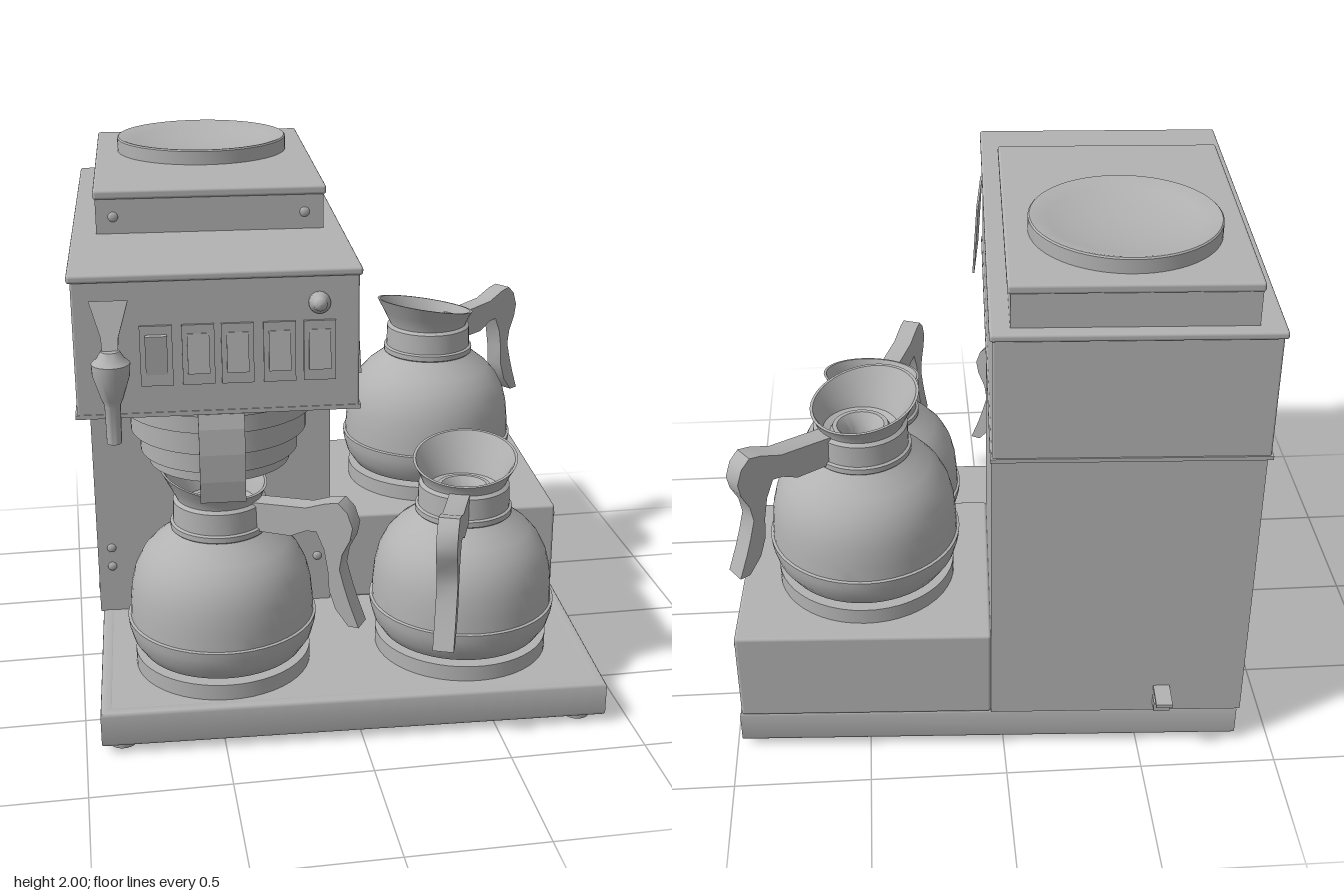
import * as THREE from 'three';
import { toCreasedNormals } from 'three/addons/utils/BufferGeometryUtils.js';
import { RoundedBoxGeometry } from 'three/addons/geometries/RoundedBoxGeometry.js';

const steel = new THREE.MeshStandardMaterial({ color: 0xb2b2b2, side: THREE.DoubleSide });
steel.name = 'steel grey';

function add(parent, name, geometry, x = 0, y = 0, z = 0) {
  const mesh = new THREE.Mesh(geometry, steel);
  mesh.name = name;
  mesh.position.set(x, y, z);
  parent.add(mesh);
  return mesh;
}

// Box given by its lower and upper corners
function block(parent, name, [x0, y0, z0], [x1, y1, z1], r = 0) {
  const size = [x1 - x0, y1 - y0, z1 - z0];
  const g = r ? new RoundedBoxGeometry(...size, 3, r) : new THREE.BoxGeometry(...size);
  return add(parent, name, g, (x0 + x1) / 2, (y0 + y1) / 2, (z0 + z1) / 2);
}

function lathe(points, segments = 48) {
  return new THREE.LatheGeometry(points.map(([r, y]) => new THREE.Vector2(r, y)), segments);
}

function rectangle(Type, [x0, z0, x1, z1]) {
  const p = new Type();
  p.moveTo(x0, -z0).lineTo(x0, -z1).lineTo(x1, -z1).lineTo(x1, -z0).closePath();
  return p;
}

// Upright rectangular wall or plate with a rectangular opening
function frame(parent, name, outer, inner, y0, y1, bevel = 0) {
  const shape = rectangle(THREE.Shape, outer);
  shape.holes.push(rectangle(THREE.Path, inner));
  const g = new THREE.ExtrudeGeometry(shape, {
    depth: y1 - y0 - 2 * bevel, bevelEnabled: bevel > 0, bevelSize: bevel,
    bevelThickness: bevel, bevelOffset: -bevel, bevelSegments: 3,
  });
  g.rotateX(-Math.PI / 2);
  return add(parent, name, toCreasedNormals(g, 0.6), 0, y0 + bevel, 0);
}

// Side profile extruded to a width, centred on its own z
function profile(points, width) {
  const shape = new THREE.Shape(points.map(([x, y]) => new THREE.Vector2(x, y)));
  const g = new THREE.ExtrudeGeometry(shape, { depth: width, bevelEnabled: false });
  g.translate(0, 0, -width / 2);
  return g;
}

function screw(parent, x, y, z, sideways = false) {
  const s = add(parent, 'screw', new THREE.SphereGeometry(0.018, 16, 10), x, y, z);
  s.scale.set(sideways ? 0.4 : 1, 1, sideways ? 1 : 0.5);
}

// Glass pot; its handle points along local +x, its spout along -x
function carafe(x, y, z, angle) {
  const pot = new THREE.Group();
  pot.name = 'carafe';
  const body = lathe([[0, 0], [0.27, 0], [0.305, 0.015], [0.335, 0.06], [0.349, 0.11], [0.352, 0.14],
    [0.342, 0.143], [0.34, 0.2], [0.333, 0.27], [0.318, 0.33], [0.29, 0.385], [0.25, 0.43],
    [0.205, 0.465], [0.172, 0.495]], 56);
  add(pot, 'carafeBody', toCreasedNormals(body, 0.6));
  add(pot, 'carafeNeck', toCreasedNormals(lathe([[0.172, 0.485], [0.182, 0.495], [0.182, 0.515],
    [0.172, 0.52], [0.17, 0.6], [0.155, 0.612]]), 0.6));

  // Flared collar, tipped upward at the spout, with a recessed funnel inside
  const collar = lathe([[0.155, 0.595], [0.157, 0.61], [0.175, 0.65], [0.196, 0.69], [0.186, 0.69],
    [0.15, 0.62], [0.135, 0.58], [0.11, 0.57], [0.1, 0.59], [0.085, 0.59], [0.055, 0.55], [0.05, 0.5], [0, 0.5]]);
  const p = collar.attributes.position;
  for (let i = 0; i < p.count; i++) {
    const t = Math.max(0, (p.getY(i) - 0.61) / 0.08);
    const px = p.getX(i);
    p.setXYZ(i, px - 0.022 * t, p.getY(i) - 0.21 * t * px, p.getZ(i));
  }
  collar.computeVertexNormals();
  add(pot, 'carafeSpout', toCreasedNormals(collar, 0.6));

  // Wavy handle with a blocky grip at the neck
  const grip = profile([[0.14, 0.505], [0.3, 0.51], [0.36, 0.54], [0.4, 0.545], [0.43, 0.48],
    [0.445, 0.4], [0.45, 0.32], [0.475, 0.25], [0.525, 0.19], [0.565, 0.19], [0.53, 0.28], [0.51, 0.34],
    [0.49, 0.41], [0.5, 0.47], [0.53, 0.53], [0.54, 0.58], [0.52, 0.635], [0.485, 0.668], [0.44, 0.66],
    [0.36, 0.63], [0.14, 0.615]], 0.075);
  add(pot, 'carafeHandle', toCreasedNormals(grip, 0.7));
  add(pot, 'warmerPlate', new THREE.CylinderGeometry(0.328, 0.328, 0.06, 48), 0, -0.03, 0);
  pot.position.set(x, y, z);
  pot.rotation.y = angle;
  return pot;
}

export function createModel() {
  const root = new THREE.Group();
  root.name = 'coffeeBrewer';
  const m = new THREE.Group();
  m.name = 'brewerAssembly';
  m.rotation.y = -0.046;
  root.add(m);

  // Hollow base tray with a shallow well beneath the tower, on four feet
  const well = [-0.87, -0.8, -0.02, -0.04];
  frame(m, 'baseRim', [-0.91, -0.84, 0.943, 0.785], [-0.86, -0.79, 0.893, 0.735], 0.03, 0.165, 0.014);
  frame(m, 'baseTop', [-0.895, -0.825, 0.928, 0.77], well, 0.13, 0.164);
  block(m, 'wellCover', [-0.9, 0.175, -0.825], [-0.005, 0.18, -0.035]);
  for (const x of [-0.835, 0.855]) for (const z of [0.7, -0.74]) {
    add(m, 'foot', new THREE.CylinderGeometry(0.055, 0.05, 0.04, 24), x, 0.02, z);
  }

  // Rear tower and stepped warmer
  frame(m, 'tower', [-0.92, -0.845, 0.01, -0.015], [-0.9, -0.825, -0.01, -0.035], 0.16, 1.31);
  block(m, 'upperWarmer', [0.009, 0.165, -0.85], [0.935, 0.53, -0.015], 0.012);
  for (const [x, y] of [[-0.865, 0.36], [-0.865, 0.44], [-0.865, 1.175], [-0.043, 0.36], [-0.043, 1.175]]) {
    screw(m, x, y, -0.012);
  }
  for (const z of [-0.045, -0.81]) screw(m, 0.934, 0.485, z, true);
  for (const z of [-0.1, -0.76]) screw(m, -0.92, 0.235, z, true);

  // Brewer head with lip, reservoir box and dished lid
  block(m, 'head', [-0.926, 1.305, -0.872], [0.008, 1.77, 0.812], 0.008);
  block(m, 'headBottomLip', [-0.932, 1.3, -0.878], [0.014, 1.315, 0.815]);
  block(m, 'headTopLip', [-0.938, 1.762, -0.883], [0.018, 1.79, 0.822], 0.01);
  block(m, 'reservoir', [-0.85, 1.785, -0.835], [-0.05, 1.92, 0.28]);
  block(m, 'reservoirLip', [-0.857, 1.912, -0.842], [-0.04, 1.945, 0.288], 0.01);
  for (const x of [-0.79, -0.117]) screw(m, x, 1.85, 0.282);
  add(m, 'dishedLid', toCreasedNormals(lathe([[0.327, 1.94], [0.327, 1.995], [0.322, 2], [0.315, 2],
    [0.26, 1.984], [0.18, 1.967], [0.09, 1.957], [0, 1.954]], 64), 0.6), -0.447, 0, -0.442);
  const panel = add(m, 'sidePlate', new THREE.BoxGeometry(0.008, 0.29, 0.29), 0.034, 1.515, 0.515);
  panel.rotation.set(0, -0.07, 0.06);

  // Rocker switches and indicator lamp
  [-0.66, -0.523, -0.395, -0.257, -0.125].forEach((x, i) => {
    block(m, 'switchFrame', [x - 0.053, 1.41, 0.805], [x + 0.053, 1.615, 0.822]);
    const rocker = block(m, 'switchRocker', [x - 0.036, 1.45, 0.81], [x + 0.036, 1.585, 0.832]);
    rocker.rotation.x = i === 0 ? 0.1 : -0.1;
  });
  const lamp = add(m, 'indicatorLamp', lathe([[0.036, 0], [0.036, 0.014], [0.026, 0.016],
    [0.022, 0.035], [0.012, 0.043], [0, 0.045]], 24), -0.125, 1.675, 0.812);
  lamp.rotation.x = Math.PI / 2;

  // Hot water tap
  const tap = new THREE.Group();
  tap.name = 'hotWaterTap';
  tap.position.set(-0.805, 0, 0.955);
  m.add(tap);
  add(tap, 'tapBody', toCreasedNormals(lathe([[0, 1.27], [0.024, 1.27], [0.026, 1.4], [0.035, 1.42],
    [0.06, 1.5], [0.062, 1.54], [0.045, 1.555], [0.03, 1.58], [0, 1.58]], 24), 0.6));
  const stem = add(tap, 'tapStem', new THREE.CylinderGeometry(0.022, 0.022, 0.15, 20), 0, 1.45, -0.075);
  const flange = add(tap, 'tapFlange', new THREE.CylinderGeometry(0.042, 0.042, 0.04, 6), 0, 1.45, -0.125);
  stem.rotation.x = flange.rotation.x = Math.PI / 2;
  const lever = add(tap, 'tapLever', profile([[-0.025, 0], [0.025, 0], [0.028, 0.05], [0.062, 0.165],
    [-0.062, 0.165], [-0.028, 0.05]], 0.022), 0, 1.57, -0.005);
  lever.rotation.x = -0.36;

  // Stepped brew basket with hanging handle and outlet
  add(m, 'brewBasket', toCreasedNormals(lathe([[0, 0.985], [0.254, 0.985], [0.254, 1.03], [0.283, 1.03],
    [0.283, 1.11], [0.315, 1.11], [0.315, 1.2], [0.345, 1.2], [0.345, 1.27], [0.372, 1.27], [0.372, 1.305]]), 0.5),
  -0.445, 0, 0.395);
  add(m, 'basketOutlet', new THREE.CylinderGeometry(0.04, 0.04, 0.04, 24), -0.445, 0.975, 0.395);
  const handle = add(m, 'basketHandle', profile([[0.34, 1.295], [0.39, 1.29], [0.403, 1.24], [0.41, 1.15],
    [0.405, 1.05], [0.392, 0.97], [0.38, 0.975], [0.391, 1.06], [0.396, 1.15], [0.39, 1.23],
    [0.378, 1.275], [0.34, 1.28]], 0.155), -0.453, 0, 0.4);
  handle.rotation.y = -Math.PI / 2;

  // Drain valve on the back
  block(m, 'drainValve', [-0.65, 0.195, -0.89], [-0.59, 0.235, -0.84]);
  block(m, 'drainStem', [-0.63, 0.23, -0.89], [-0.61, 0.28, -0.87]);
  block(m, 'drainLever', [-0.65, 0.265, -0.95], [-0.59, 0.28, -0.84]);

  // Three pots on their warmer plates
  m.add(carafe(-0.45, 0.224, 0.405, -0.51));
  m.add(carafe(0.468, 0.224, 0.38, -1.88));
  m.add(carafe(0.471, 0.59, -0.44, 0.67));
  return root;
}
